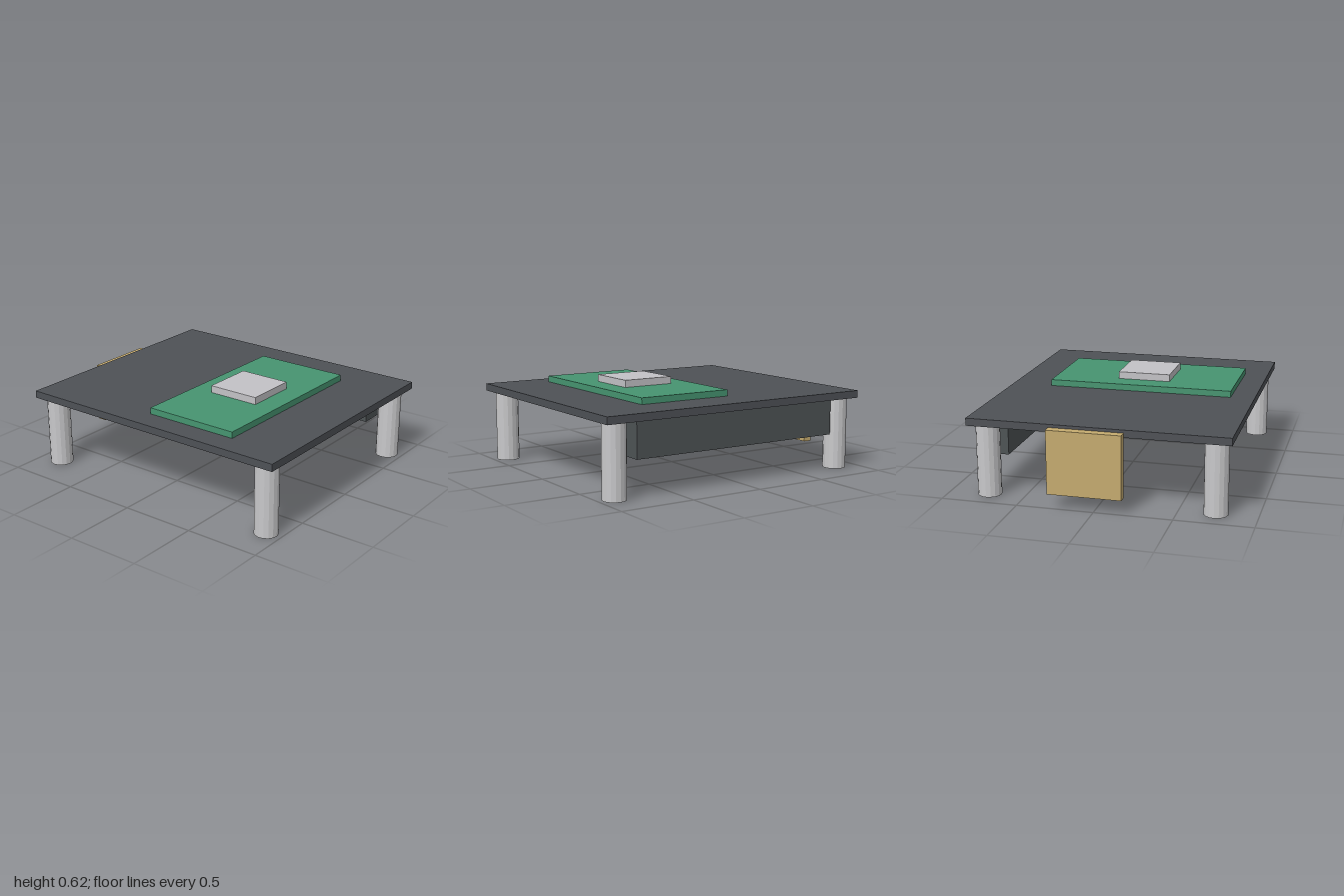
import * as THREE from 'three';

const material = (name, color) => {
  const m = new THREE.MeshStandardMaterial({ color });
  m.name = name;
  return m;
};

export function createModel() {
  const group = new THREE.Group();
  group.name = 'circuitTable';

  const plateGrey = material('plate grey', 0x4e5156);
  const boxGrey = material('box grey', 0x4e5355);
  const green = material('board green', 0x469470);
  const silver = material('chip silver', 0xc3c2c6);
  const legMetal = material('leg metal', 0xc8c8ca);
  const gold = material('panel gold', 0xc5ab6f);
  legMetal.flatShading = true;

  // Box given by its lower and upper limits on each axis
  const block = (name, mat, [x0, x1], [y0, y1], [z0, z1]) => {
    const mesh = new THREE.Mesh(new THREE.BoxGeometry(x1 - x0, y1 - y0, z1 - z0), mat);
    mesh.position.set((x0 + x1) / 2, (y0 + y1) / 2, (z0 + z1) / 2);
    mesh.name = name;
    group.add(mesh);
  };

  // Table plate with the stacked board and chip
  block('plate', plateGrey, [-0.94, 1], [0.478, 0.527], [-0.843, 0.843]);
  block('board', green, [-0.059, 0.593], [0.527, 0.569], [-0.567, 0.684]);
  block('chip', silver, [0.086, 0.444], [0.569, 0.617], [-0.123, 0.235]);

  // Box slung under the rear edge, and upright panel on the right edge
  block('rearBox', boxGrey, [-0.743, 0.77], [0.24, 0.478], [-0.795, -0.637]);
  block('sidePanel', gold, [-1, -0.943], [0.092, 0.508], [-0.299, 0.179]);

  // Four round legs
  const legGeometry = new THREE.CylinderGeometry(0.077, 0.077, 0.478, 16);
  for (const sx of [-1, 1]) {
    for (const sz of [-1, 1]) {
      const leg = new THREE.Mesh(legGeometry, legMetal);
      leg.position.set(0.028 + sx * 0.865, 0.239, sz * 0.736);
      leg.name = (sz > 0 ? 'front' : 'back') + (sx > 0 ? 'Left' : 'Right') + 'Leg';
      group.add(leg);
    }
  }
  return group;
}
